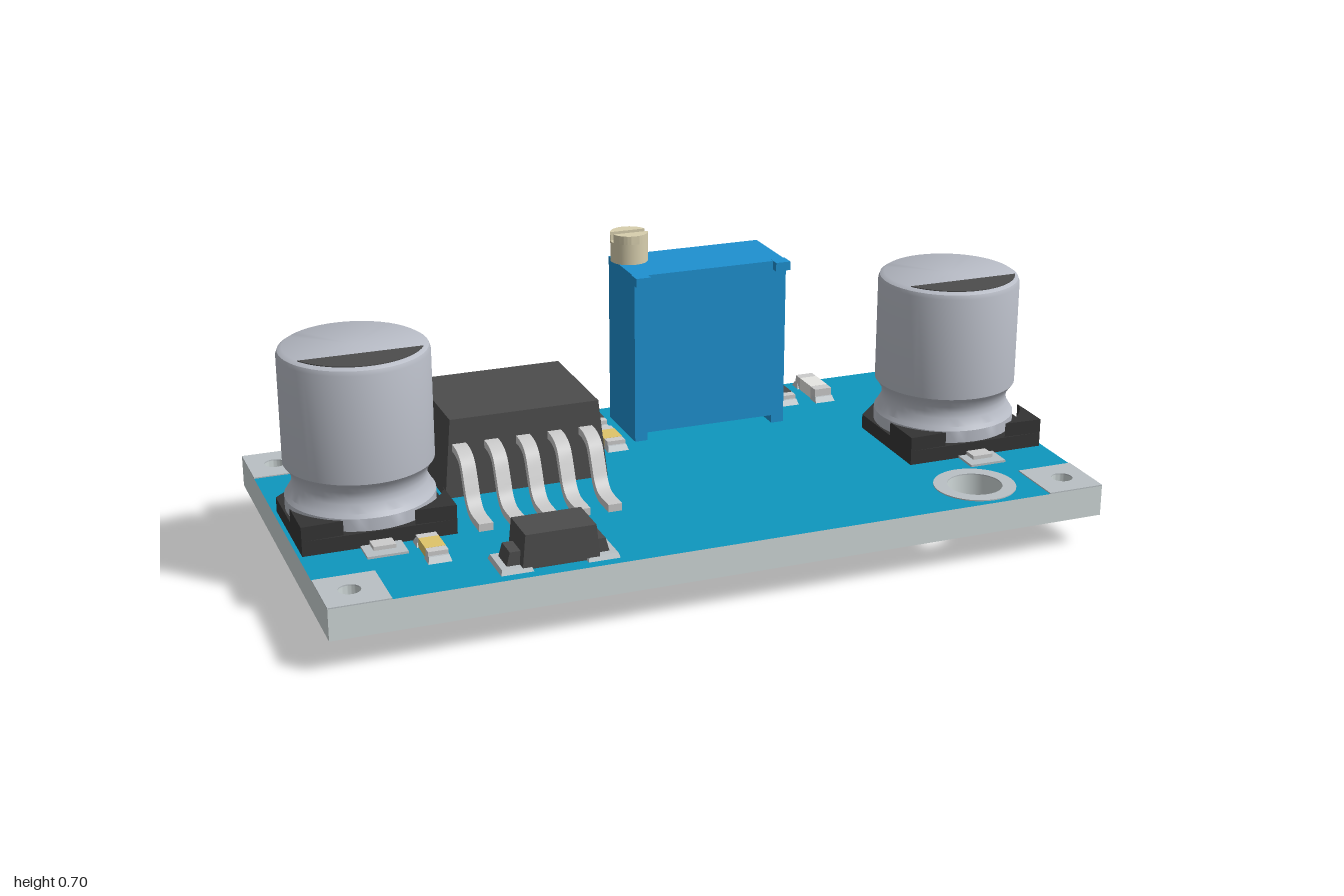
import * as THREE from 'three';
import { toCreasedNormals } from 'three/addons/utils/BufferGeometryUtils.js';

const mat = (color = 0xcccccc) => new THREE.MeshStandardMaterial({ color });
const M = {
  metal: mat(0xcccccc), pad: mat(0xb9c0c4), boardSide: mat(0xcfd8d8), board: mat(0x0e97be),
  blue: mat(0x1e90d0), dark: mat(0x4c4c4c), base: mat(0x343434), can: mat(0xb8bcc6),
  brass: mat(0xd8cfae), yellow: mat(0xdfc46a), white: mat(0xe6e6e2),
};
const TOP = 0.165; // upper face of the board

function add(parent, name, geo, material, x = 0, y = 0, z = 0) {
  const m = new THREE.Mesh(geo, material);
  m.name = name;
  m.position.set(x, y, z);
  parent.add(m);
  return m;
}

// Box given by its extents
function box(parent, name, material, x0, x1, y0, y1, z0, z1) {
  return add(parent, name, new THREE.BoxGeometry(x1 - x0, y1 - y0, z1 - z0), material,
    (x0 + x1) / 2, (y0 + y1) / 2, (z0 + z1) / 2);
}

// Box whose top face is inset by dx, and by back / front along z
function taperedBox(w, h, d, dx, back, front = back) {
  const g = new THREE.BoxGeometry(w, h, d), p = g.attributes.position;
  for (let i = 0; i < p.count; i++) {
    if (p.getY(i) < 0) continue;
    p.setX(i, p.getX(i) - Math.sign(p.getX(i)) * dx);
    p.setZ(i, p.getZ(i) + (p.getZ(i) < 0 ? back : -front));
  }
  g.computeVertexNormals();
  return g;
}

// Plan outline of [x, z] points
const outline = (pts) => new THREE.Shape(pts.map(([x, z]) => new THREE.Vector2(x, -z)));
const rect = (x0, x1, z0, z1) => outline([[x0, z1], [x1, z1], [x1, z0], [x0, z0]]);
function hole(shape, x, z, r) {
  shape.holes.push(new THREE.Path().absarc(x, -z, r, 0, Math.PI * 2, true));
  return shape;
}
// Plan outline raised upward by h
function slab(shape, h) {
  const g = new THREE.ExtrudeGeometry(shape, { depth: h, bevelEnabled: false, curveSegments: 20 });
  return toCreasedNormals(g.rotateX(-Math.PI / 2), 0.6);
}

function addBoard(root) {
  const g = new THREE.Group();
  g.name = 'circuitBoard';
  const shape = rect(-1, 1, -0.49, 0.49);
  const mounts = [[-0.7, -0.38], [0.7, 0.37]];
  for (const [x, z] of mounts) hole(shape, x, z, 0.07);
  for (const sx of [-1, 1]) for (const sz of [-1, 1]) {
    hole(shape, sx * 0.93, sz * 0.41, 0.027);
    const xs = [sx * 0.85, sx].sort((a, b) => a - b), zs = [sz * 0.33, sz * 0.49].sort((a, b) => a - b);
    add(g, 'cornerPad', slab(hole(rect(...xs, ...zs), sx * 0.93, sz * 0.41, 0.027), 0.003), M.pad, 0, TOP, 0);
  }
  add(g, 'board', slab(shape, 0.08), [M.board, M.boardSide], 0, 0.085, 0);
  for (const [x, z] of mounts) {
    const ring = new THREE.Shape().absarc(x, -z, 0.105, 0, Math.PI * 2);
    add(g, 'mountingRing', slab(hole(ring, x, z, 0.07), 0.003), M.pad, 0, TOP, 0);
  }
  root.add(g);
}

function addCapacitor(root, x) {
  const g = new THREE.Group();
  g.name = 'capacitor';
  g.position.set(x, TOP, 0);
  // Base plate, chamfered at the back, with raised front corners
  add(g, 'basePlate', slab(outline([[-0.19, 0.19], [0.19, 0.19], [0.19, -0.1], [0.1, -0.19],
    [-0.1, -0.19], [-0.19, -0.1]]), 0.038), M.base);
  for (const s of [-1, 1]) {
    const pts = [[s * 0.19, 0.19]];
    for (let i = 0; i <= 8; i++) {
      const a = 0.33 + (1.13 - 0.33) * i / 8;
      pts.push([s * Math.min(0.19, 0.205 * Math.cos(a)), Math.min(0.19, 0.205 * Math.sin(a))]);
    }
    add(g, 'baseCorner', slab(outline(pts), 0.075), M.base);
  }
  // Can with a rolled neck
  const profile = [[0, 0.03], [0.185, 0.03], [0.185, 0.07], [0.178, 0.08], [0.167, 0.1], [0.165, 0.115],
    [0.167, 0.13], [0.178, 0.148], [0.185, 0.157], [0.185, 0.43], [0.181, 0.441], [0.17, 0.448], [0, 0.448]];
  const can = new THREE.LatheGeometry(profile.map(([r, y]) => new THREE.Vector2(r, y)), 48);
  add(g, 'can', toCreasedNormals(can, 0.6), M.can);
  // Polarity mark on the top
  const a = Math.asin(0.08 / 0.172);
  const mark = new THREE.Shape().absarc(0, 0, 0.172, Math.PI + a, 2 * Math.PI - a);
  add(g, 'polarityMark', slab(mark, 0.002), M.dark, 0, 0.448, 0);
  // Terminals
  for (const s of [-1, 1]) {
    add(g, 'solderPad', new THREE.BoxGeometry(0.1, 0.006, 0.1), M.pad, 0, 0.003, s * 0.21);
    add(g, 'terminal', new THREE.BoxGeometry(0.055, 0.016, 0.08), M.metal, 0, 0.008, s * 0.19);
  }
  root.add(g);
}

function addRegulator(root) {
  const g = new THREE.Group();
  g.name = 'regulator';
  add(g, 'tab', taperedBox(0.45, 0.03, 0.12, 0.008, 0.02, 0), M.metal, -0.375, TOP + 0.015, -0.4);
  add(g, 'body', taperedBox(0.43, 0.205, 0.4, 0.02, 0.07, 0.01), M.dark, -0.367, 0.2725, -0.215);
  // Gull-wing lead: centre line in (z, y), given thickness by offsetting
  const curve = new THREE.CatmullRomCurve3([[-0.05, 0.3], [0.01, 0.3], [0.045, 0.285], [0.07, 0.24],
    [0.09, 0.2], [0.12, 0.178], [0.2, 0.175]].map(([z, y]) => new THREE.Vector3(z, y, 0)));
  const up = [], low = [];
  for (let i = 0; i <= 20; i++) {
    const p = curve.getPoint(i / 20), t = curve.getTangent(i / 20);
    up.push(new THREE.Vector2(p.x - t.y * 0.01, p.y + t.x * 0.01));
    low.unshift(new THREE.Vector2(p.x + t.y * 0.01, p.y - t.x * 0.01));
  }
  const lead = toCreasedNormals(new THREE.ExtrudeGeometry(new THREE.Shape([...up, ...low]),
    { depth: 0.036, bevelEnabled: false }).translate(0, 0, -0.018).rotateY(-Math.PI / 2), 0.6);
  for (let i = 0; i < 5; i++) add(g, 'lead', lead, M.metal, -0.541 + i * 0.083, 0, 0);
  root.add(g);
}

function addTrimmer(root) {
  const g = new THREE.Group();
  g.name = 'trimmer';
  box(g, 'housing', M.blue, 0, 0.43, 0.187, 0.625, -0.42, -0.222);
  for (const x of [0, 0.395]) {
    box(g, 'foot', M.blue, x, x + 0.035, TOP, 0.187, -0.42, -0.222);
    box(g, 'topLip', M.blue, x - 0.003, x + 0.038, 0.602, 0.6255, -0.24, -0.2);
  }
  for (const x of [0.095, 0.21, 0.33]) box(g, 'pin', M.metal, x - 0.01, x + 0.01, 0, 0.19, -0.33, -0.31);
  // Adjusting screw: a round shank and two half heads either side of the slot
  add(g, 'screwShank', new THREE.CylinderGeometry(0.05, 0.05, 0.055, 32), M.brass, 0.04, 0.6525, -0.37);
  const a = Math.asin(0.012 / 0.05);
  const half = slab(new THREE.Shape().absarc(0, 0, 0.05, a, Math.PI - a), 0.023);
  for (const turn of [0, Math.PI]) add(g, 'screwHead', half, M.brass, 0.04, 0.68, -0.37).rotation.y = turn;
  root.add(g);
}

function addDiode(root) {
  const g = new THREE.Group();
  g.name = 'diode';
  g.position.set(-0.4375, TOP, 0.408);
  add(g, 'body', taperedBox(0.19, 0.082, 0.114, 0.008, 0.001), M.dark, 0, 0.054, 0);
  add(g, 'underside', new THREE.BoxGeometry(0.16, 0.02, 0.08), M.dark, 0, 0.01, 0);
  for (const s of [-1, 1]) {
    add(g, 'solderPad', taperedBox(0.08, 0.012, 0.11, 0.004, 0.006), M.pad, s * 0.107, 0.006, 0);
    add(g, 'terminal', taperedBox(0.06, 0.046, 0.066, 0.012, 0.002), M.dark, s * 0.1, 0.023, 0);
  }
  root.add(g);
}

// Small two-ended component lying along z
function addChip(root, name, material, x, z, length, height = 0.025) {
  const g = new THREE.Group();
  g.name = name;
  g.position.set(x, TOP, z);
  add(g, 'middle', new THREE.BoxGeometry(0.05, height, length * 0.56), material, 0, height / 2, 0);
  for (const s of [-1, 1]) {
    add(g, 'endCap', new THREE.BoxGeometry(0.05, height - 0.001, length * 0.22), M.metal,
      0, height / 2, s * length * 0.39);
    add(g, 'solder', taperedBox(0.058, 0.014, 0.04, 0.004, 0.01), M.pad, 0, 0.007, s * length * 0.47);
  }
  root.add(g);
}

export function createModel() {
  const root = new THREE.Group();
  root.name = 'converterBoard';
  addBoard(root);
  for (const x of [-0.8, 0.8]) addCapacitor(root, x);
  addRegulator(root);
  addTrimmer(root);
  addDiode(root);
  for (const x of [-0.062, 0.495]) addChip(root, 'chipResistor', M.dark, x, -0.395, 0.11);
  for (const [x, z] of [[-0.065, -0.245], [-0.695, 0.268]]) addChip(root, 'chipCapacitor', M.yellow, x, z, 0.11);
  addChip(root, 'indicatorLamp', M.white, 0.6, -0.395, 0.13, 0.035);
  return root;
}
